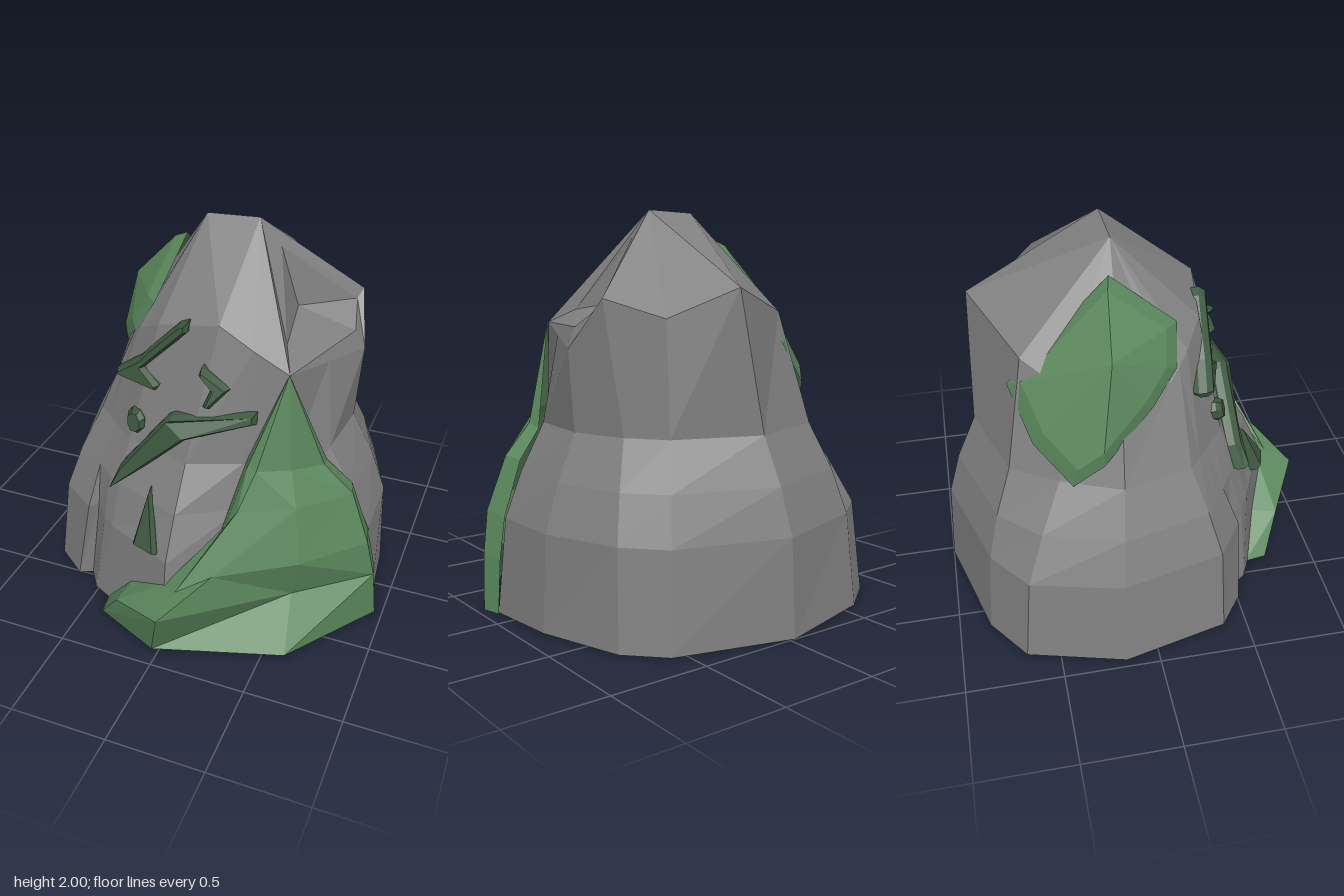
import * as THREE from 'three';

const stone = new THREE.MeshStandardMaterial({ color: 0x808080, side: THREE.DoubleSide });
stone.name = 'stone grey';
const moss = new THREE.MeshStandardMaterial({ color: 0x5a875c, side: THREE.DoubleSide });
moss.name = 'moss green';
const carving = new THREE.MeshStandardMaterial({ color: 0x3d583f });
carving.name = 'dark carving green';

// Faceted mesh from a list of triangles (unshared corners give flat normals)
function facets(name, tris, material) {
  const g = new THREE.BufferGeometry().setFromPoints(tris.flat());
  g.computeVertexNormals();
  const m = new THREE.Mesh(g, material);
  m.name = name;
  return m;
}

const points = (list) => list.map((p) => new THREE.Vector3(...p));
const level = (y, list) => list.map(([x, z]) => new THREE.Vector3(x, y, z));

// Triangles between neighbouring cross-sections; open skins alternate their diagonals
function skin(rows, closed) {
  const tris = [];
  for (let r = 0; r + 1 < rows.length; r++) {
    const lo = rows[r], up = rows[r + 1], n = lo.length;
    for (let i = 0; i < (closed ? n : n - 1); i++) {
      const j = (i + 1) % n;
      if (!closed && r % 2) tris.push([lo[i], lo[j], up[i]], [lo[j], up[j], up[i]]);
      else tris.push([lo[i], lo[j], up[j]], [lo[i], up[j], up[i]]);
    }
  }
  return tris;
}

// Boulder cross-sections run front, left, back, right; columns 12-14 form the cleft
const foot = level(0, [
  [0, 0.86], [0.32, 0.58], [0.62, 0.38], [0.92, 0.14], [0.88, -0.24], [0.74, -0.67], [0.57, -0.84],
  [-0.03, -1], [-0.6, -0.84], [-0.83, -0.67], [-0.96, -0.17], [-0.83, 0.38],
  [-0.66, 0.51], [-0.59, 0.48], [-0.52, 0.58], [-0.4, 0.64]]);
const belly = level(0.48, [
  [0, 0.78], [0.3, 0.55], [0.6, 0.38], [0.87, 0.14], [0.86, -0.24], [0.71, -0.62], [0.54, -0.8],
  [-0.03, -0.97], [-0.57, -0.8], [-0.79, -0.63], [-0.9, -0.17], [-0.77, 0.36],
  [-0.57, 0.5], [-0.53, 0.46], [-0.45, 0.55], [-0.38, 0.6]]);
const waist = level(0.94, [
  [0.02, 0.55], [0.28, 0.45], [0.5, 0.35], [0.64, 0.15], [0.67, -0.2], [0.57, -0.47], [0.43, -0.64],
  [0, -0.8], [-0.43, -0.66], [-0.57, -0.43], [-0.69, -0.13], [-0.6, 0.22],
  [-0.53, 0.28], [-0.46, 0.335], [-0.4, 0.385], [-0.33, 0.44]]);
const shoulder = points([
  [0.13, 1.63, 0.37], [0.3, 1.53, 0.37], [0.48, 1.43, 0.36], [0.59, 1.385, 0.08], [0.7, 1.34, -0.2],
  [0.63, 1.58, -0.39], [0.43, 1.49, -0.61], [0.13, 1.63, -0.77], [-0.3, 1.5, -0.56],
  [-0.43, 1.4, -0.39], [-0.51, 1.4, -0.11], [-0.44, 1.36, 0.14], [-0.4, 1.42, 0.19],
  [-0.35, 1.47, 0.24], [-0.28, 1.51, 0.28], [-0.2, 1.56, 0.33]]);
const flank = belly.map((p, i) => {
  const q = p.clone().lerp(waist[i], 0.5);
  return q.set(q.x * 1.02, q.y, q.z * 1.02);
});
// The cleft closes at flank height
for (const i of [12, 13, 14]) flank[i].lerpVectors(flank[11], flank[15], (i - 11) / 4);

function boulder() {
  const tris = skin([foot, belly, flank, waist, shoulder], true);
  const [ridgeR, ridgeL] = points([[-0.11, 1.99, -0.09], [0.16, 2, -0.1]]);
  const s = shoulder, n = s.length;
  // Crown rising to a short ridge
  for (const i of [0, 1, 5, 6]) tris.push([s[i], s[i + 1], ridgeL]);
  for (let i = 7; i < n; i++) tris.push([s[i], s[(i + 1) % n], ridgeR]);
  tris.push([ridgeR, s[0], ridgeL], [ridgeL, s[7], ridgeR]);
  // Chipped hollow on the left shoulder
  const rim = [s[2], s[4], s[5], ridgeL];
  const lip = points([[0.41, 1.5, 0.2], [0.65, 1.44, -0.18], [0.61, 1.54, -0.34], [0.27, 1.86, -0.11]]);
  const [pit] = points([[0.36, 1.55, -0.13]]);
  rim.forEach((p, i) => {
    const j = (i + 1) % 4;
    tris.push([p, rim[j], lip[j]], [p, lip[j], lip[i]], [lip[i], lip[j], pit]);
  });
  return facets('boulder', tris, stone);
}

// Large moss drape climbing the front left side to a point
function mossDrape() {
  const rows = [
    [[-0.42, 0, 0.62], [-0.4, 0, 0.74], [-0.04, 0, 0.9], [0.61, 0, 0.7], [0.96, 0, 0.22], [0.93, 0, 0.12]],
    [[-0.24, 0.22, 0.68], [-0.26, 0.2, 0.83], [0.04, 0.3, 1], [0.58, 0.26, 0.52], [0.94, 0.28, 0.25], [0.91, 0.27, 0.13]],
    [[0, 0.36, 0.79], [0.08, 0.38, 0.85], [0.25, 0.48, 0.79], [0.62, 0.5, 0.57], [0.9, 0.5, 0.28], [0.87, 0.48, 0.15]],
    [[0.2, 0.56, 0.58], [0.26, 0.68, 0.62], [0.32, 0.78, 0.63], [0.58, 0.78, 0.5], [0.8, 0.77, 0.26], [0.77, 0.76, 0.16]],
    [[0.31, 1, 0.42], [0.33, 0.98, 0.51], [0.38, 0.97, 0.53], [0.53, 0.96, 0.44], [0.65, 0.92, 0.28], [0.64, 0.9, 0.2]],
  ].map(points);
  const [tip] = points([[0.48, 1.44, 0.37]]);
  const top = rows[rows.length - 1], tris = skin(rows, false);
  for (let i = 0; i < 5; i++) tris.push([top[i], top[i + 1], tip]);
  return facets('mossDrape', tris, moss);
}

// Domed moss patch on the right shoulder: bevelled rim around a fan
function mossPatch() {
  const edge = points([[-0.23, 1.86, -0.12], [-0.27, 1.34, -0.63], [-0.49, 1.13, -0.54],
    [-0.62, 0.94, -0.37], [-0.64, 1.06, -0.22], [-0.52, 1.29, 0.04], [-0.4, 1.42, 0.18], [-0.28, 1.6, 0.2]]);
  const [peak] = points([[-0.54, 1.58, -0.16]]);
  const inner = edge.map((p) => p.clone().lerp(peak, 0.16).add(new THREE.Vector3(-0.025, 0.01, -0.01)));
  const tris = skin([[...edge, edge[0]], [...inner, inner[0]]], false);
  inner.forEach((p, i) => tris.push([p, inner[(i + 1) % inner.length], peak]));
  return facets('mossPatch', tris, moss);
}

// Approximate depth of the boulder's face, so the carvings hug it
const faceDepth = (x, y) => 0.55 - (y > 0.94 ? 0.26 : 0.5) * (y - 0.94) - 0.33 * Math.abs(x - 0.03);

function carvedMark(name, lift, outline) {
  const shape = new THREE.Shape(outline.map(([x, y]) => new THREE.Vector2(x, y)));
  const g = new THREE.ExtrudeGeometry(shape, {
    depth: 0.04, bevelThickness: 0.03, bevelSize: 0.015, bevelOffset: -0.015, bevelSegments: 1 });
  const p = g.attributes.position;
  for (let i = 0; i < p.count; i++) p.setZ(i, p.getZ(i) + lift - 0.025 + faceDepth(p.getX(i), p.getY(i)));
  g.computeVertexNormals();
  const m = new THREE.Mesh(g, carving);
  m.name = name;
  return m;
}

export function createModel() {
  const group = new THREE.Group();
  group.name = 'mossyBoulder';
  const dot = Array.from({ length: 8 }, (_, i) => {
    const a = (i + 0.5) * Math.PI / 4;
    return [-0.3 + 0.057 * Math.cos(a), 1.05 + 0.063 * Math.sin(a)];
  });
  group.add(
    boulder(), mossDrape(), mossPatch(),
    carvedMark('hookMark', 0, [[-0.03, 1.62], [-0.08, 1.6], [-0.24, 1.44], [-0.3, 1.37], [-0.44, 1.27],
      [-0.43, 1.24], [-0.19, 1.24], [-0.17, 1.27], [-0.27, 1.33], [-0.03, 1.57]]),
    carvedMark('curvedMark', 0.025, [[-0.4, 0.7], [-0.35, 0.83], [-0.1, 1.15], [-0.07, 1.17], [0.34, 1.23],
      [0.34, 1.17], [0.02, 1.08], [-0.2, 0.87]]),
    carvedMark('arrowMark', 0.025, [[0.07, 1.44], [0.06, 1.4], [0.12, 1.33], [0.09, 1.25], [0.12, 1.24], [0.21, 1.34]]),
    carvedMark('triangleMark', 0, [[-0.155, 0.78], [-0.21, 0.5], [-0.06, 0.5]]),
    carvedMark('dotMark', 0, dot),
  );
  return group;
}
